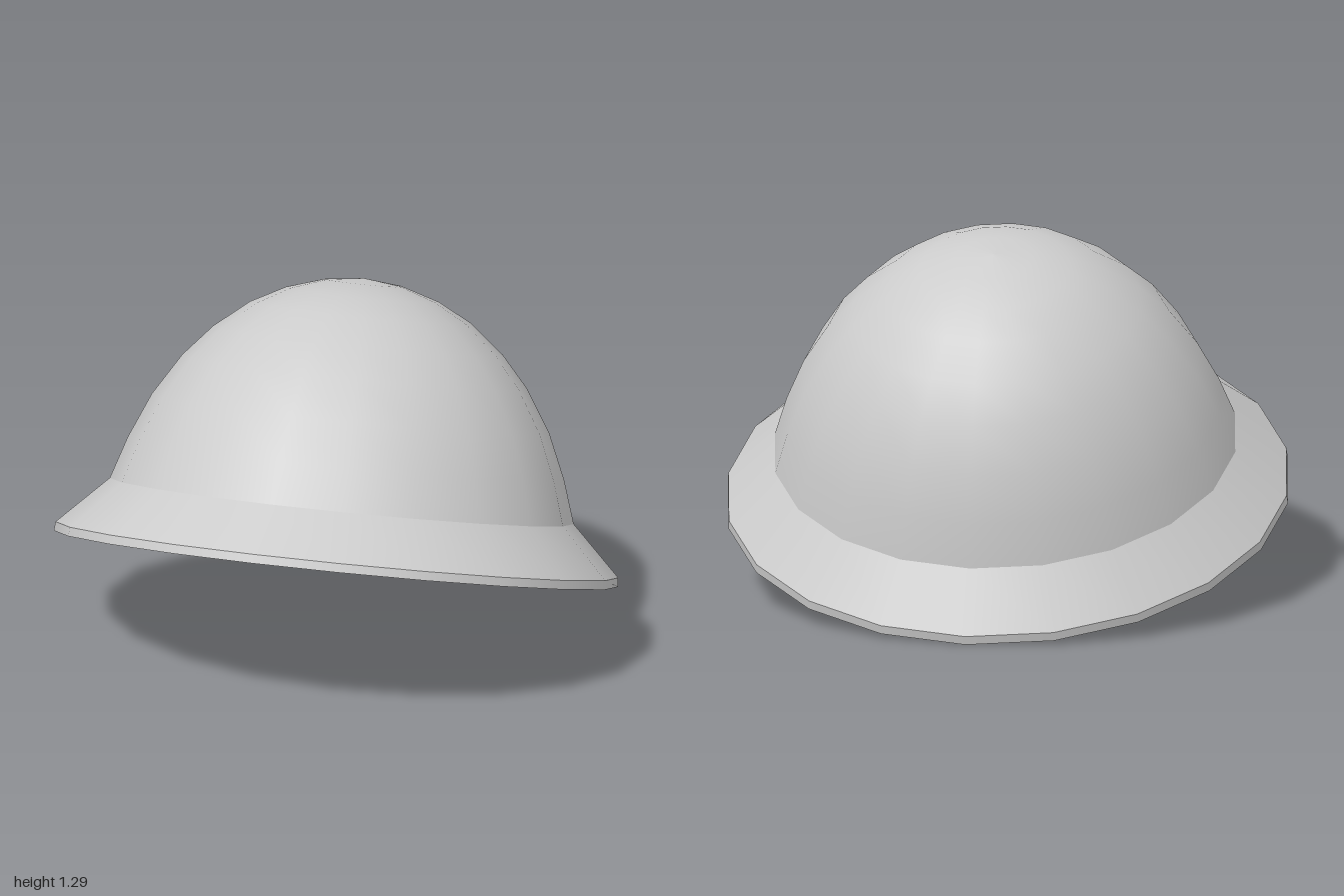
import * as THREE from 'three';

const SIDES = 20;

// Outer dome profile [radius, height], from the brim crease to the crown
const DOME = [
  [0.822, 0.205], [0.773, 0.356], [0.704, 0.516], [0.611, 0.664], [0.513, 0.775],
  [0.392, 0.874], [0.27, 0.938], [0.138, 0.979], [0, 0.995],
];
// Inner dome: the same curve, smaller, from the crown down to the opening
const LINING = DOME.map(([r, h]) => [r * 0.858, 0.185 + (h - 0.205) * 0.86]).reverse();

export function createModel() {
  const group = new THREE.Group();
  group.name = 'helmet';
  const material = new THREE.MeshStandardMaterial({ color: 0xcccccc });

  // Each band is its own lathe, so it is smooth inside and sharp at its edges
  function band(name, profile) {
    const points = profile.map(([r, h]) => new THREE.Vector2(r, h));
    const mesh = new THREE.Mesh(new THREE.LatheGeometry(points, SIDES), material);
    mesh.name = name;
    group.add(mesh);
  }

  band('dome', DOME);
  band('brimTop', [[0.997, 0.032], [0.822, 0.205]]);
  band('rimEdge', [[1, 0], [0.997, 0.032]]);
  band('brimUnderside', [[0.705, 0.185], [1, 0]]);
  band('domeLining', LINING);

  // Tipped back, with the back of the rim on the ground
  group.rotation.x = -0.321;
  group.position.y = 0.316;

  const model = new THREE.Group();
  model.add(group);
  return model;
}
